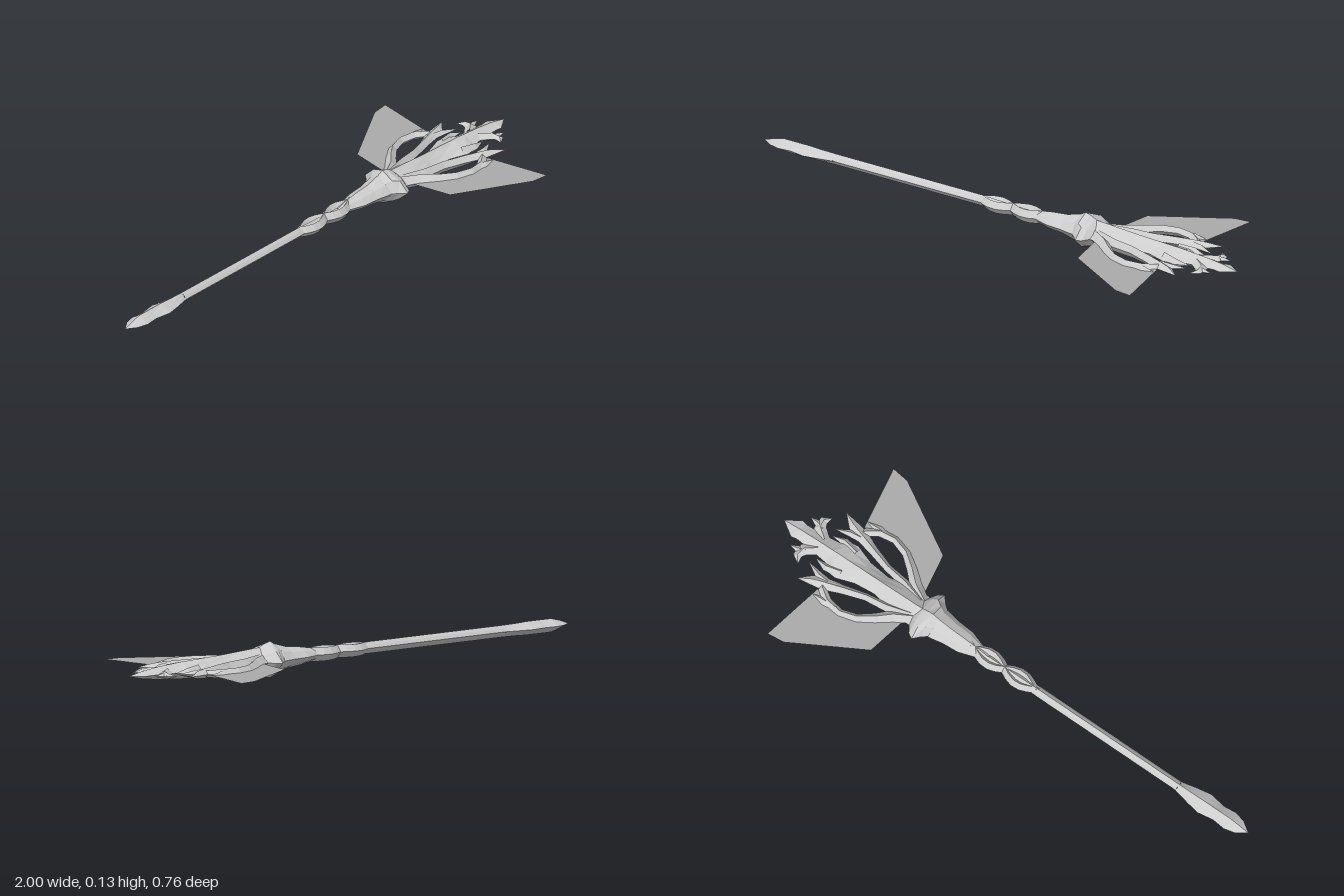
import * as THREE from 'three';

const MID = 0.065; // height of the weapon's axis

// Sweep an eight-point section along stations [x, z, halfWidth, halfHeight]; bulge 0.5 gives a diamond
function sweep(stations, bulge = 0.5) {
  const rings = stations.map(([x, z, w, h], i) => {
    const a = stations[Math.max(i - 1, 0)];
    const b = stations[Math.min(i + 1, stations.length - 1)];
    const len = Math.hypot(b[0] - a[0], b[1] - a[1]);
    const nx = -(b[1] - a[1]) / len, nz = (b[0] - a[0]) / len;
    const ring = [];
    for (let k = 0; k < 8; k++) {
      const s = k % 2 ? bulge * Math.SQRT2 : 1;
      const c = Math.cos(k * Math.PI / 4) * s * w;
      ring.push([x + nx * c, MID + Math.sin(k * Math.PI / 4) * s * h, z + nz * c]);
    }
    return ring;
  });
  const pos = [];
  for (let i = 0; i < rings.length - 1; i++) {
    for (let k = 0; k < 8; k++) {
      const n = (k + 1) % 8;
      const a = rings[i][k], b = rings[i][n], c = rings[i + 1][n], d = rings[i + 1][k];
      pos.push(...a, ...d, ...c, ...a, ...c, ...b);
    }
  }
  const geo = new THREE.BufferGeometry();
  geo.setAttribute('position', new THREE.Float32BufferAttribute(pos, 3));
  geo.computeVertexNormals();
  return geo;
}

export function createModel() {
  const group = new THREE.Group();
  const metal = new THREE.MeshStandardMaterial({ color: 0xcccccc, flatShading: true });
  metal.name = 'pale metal';
  const membrane = new THREE.MeshStandardMaterial({ color: 0xaaaaaa, side: THREE.DoubleSide });
  membrane.name = 'grey membrane';

  const add = (name, geo, mat = metal) => {
    const mesh = new THREE.Mesh(geo, mat);
    mesh.name = name;
    group.add(mesh);
  };

  // Pommel and long diamond shaft
  add('pommel', sweep([
    [-1, 0, 0, 0], [-0.96, 0, 0.027, 0.014], [-0.92, 0, 0.037, 0.024], [-0.87, 0, 0.032, 0.024],
    [-0.81, 0, 0.042, 0.024], [-0.76, 0, 0.033, 0.022], [-0.7, 0, 0.02, 0.021],
  ]));
  add('shaft', sweep([[-0.7, 0, 0.019, 0.021], [-0.1, 0, 0.019, 0.021], [0.12, 0, 0.012, 0.014]], 0.55));

  // Braided neck: two strands weaving from side to side
  for (const side of [1, -1]) {
    const strand = [];
    for (let i = 0; i <= 14; i++) {
      const t = i / 14;
      const x = -0.14 + 0.38 * t;
      const end = Math.min(1, 6 * t, 6 * (1 - t) + 0.4);
      strand.push([x, side * 0.023 * end * Math.cos(t * Math.PI * 3),
        0.004 + 0.012 * end, 0.006 + (0.014 + 0.006 * t) * end]);
    }
    add('neckStrand', sweep(strand));
  }
  add('neck', sweep([
    [0.1, 0, 0, 0], [0.16, 0, 0.026, 0.022], [0.22, 0, 0.046, 0.032], [0.28, 0, 0.05, 0.038],
    [0.33, 0, 0.06, 0.052], [0.37, 0, 0.06, 0.058],
  ], 0.6));

  // Flared collar, widest across the blade plane
  add('collar', sweep([
    [0.32, 0, 0.045, 0.045], [0.357, 0, 0.075, 0.065], [0.38, 0, 0.1, 0.059],
    [0.4, 0, 0.088, 0.05], [0.425, 0, 0.05, 0.03],
  ], 0.62));

  // Central blade
  add('blade', sweep([
    [0.39, 0, 0.06, 0.048], [0.43, 0, 0.064, 0.046], [0.5, 0, 0.058, 0.042], [0.58, 0, 0.04, 0.037],
    [0.66, 0, 0.048, 0.034], [0.73, 0, 0.072, 0.031], [0.765, 0, 0.068, 0.03], [0.79, 0, 0.045, 0.028],
    [0.86, 0, 0.036, 0.023], [0.92, 0, 0.032, 0.016], [0.945, 0, 0.036, 0.012], [1, 0, 0, 0],
  ]));

  for (const s of [1, -1]) {
    const prong = (name, pts) => add(name, sweep(pts.map(([x, z, w, h]) => [x, s * z, w, h])));

    // Outer arched prong
    prong('outerProng', [
      [0.42, 0.035, 0.02, 0.026], [0.48, 0.068, 0.022, 0.022], [0.53, 0.112, 0.018, 0.019],
      [0.58, 0.148, 0.015, 0.018], [0.64, 0.166, 0.014, 0.017], [0.7, 0.158, 0.016, 0.016],
      [0.74, 0.13, 0.015, 0.013], [0.765, 0.1, 0.004, 0.006],
    ]);
    prong('outerThorn', [[0.66, 0.16, 0.012, 0.014], [0.71, 0.164, 0.015, 0.012], [0.76, 0.165, 0, 0]]);

    // Inner sweeping prong ending in a hook
    prong('innerProng', [
      [0.43, 0.03, 0.016, 0.028], [0.52, 0.055, 0.016, 0.024], [0.6, 0.066, 0.014, 0.022],
      [0.68, 0.09, 0.017, 0.02], [0.75, 0.112, 0.024, 0.017], [0.79, 0.125, 0.018, 0.013], [0.84, 0.15, 0, 0],
    ]);
    prong('innerThorn', [[0.74, 0.1, 0.014, 0.015], [0.78, 0.096, 0.014, 0.012], [0.84, 0.075, 0, 0]]);

    // Barbs beside the blade tip
    prong('rearBarb', [[0.72, 0.045, 0.02, 0.022], [0.78, 0.058, 0.014, 0.016], [0.83, 0.05, 0, 0]]);
    prong('tipBarb', [[0.84, 0.02, 0.02, 0.018], [0.88, 0.05, 0.022, 0.014], [0.885, 0.08, 0.016, 0.009], [0.865, 0.105, 0, 0]]);
    prong('tipThorn', [[0.87, 0.05, 0.016, 0.012], [0.9, 0.06, 0.012, 0.008], [0.93, 0.063, 0, 0]]);

    // Flat wing membrane outside the arched prong
    const wing = new THREE.Shape([
      [0.44, 0.06], [0.47, 0.217], [0.735, 0.37], [0.8, 0.378], [0.755, 0.14], [0.7, 0.158],
      [0.64, 0.166], [0.58, 0.148], [0.53, 0.112], [0.48, 0.068],
    ].map(([x, z]) => new THREE.Vector2(x, -s * z)));
    const wingGeo = new THREE.ShapeGeometry(wing);
    wingGeo.rotateX(-Math.PI / 2);
    wingGeo.translate(0, MID, 0);
    add(s > 0 ? 'frontWing' : 'backWing', wingGeo, membrane);
  }
  return group;
}
